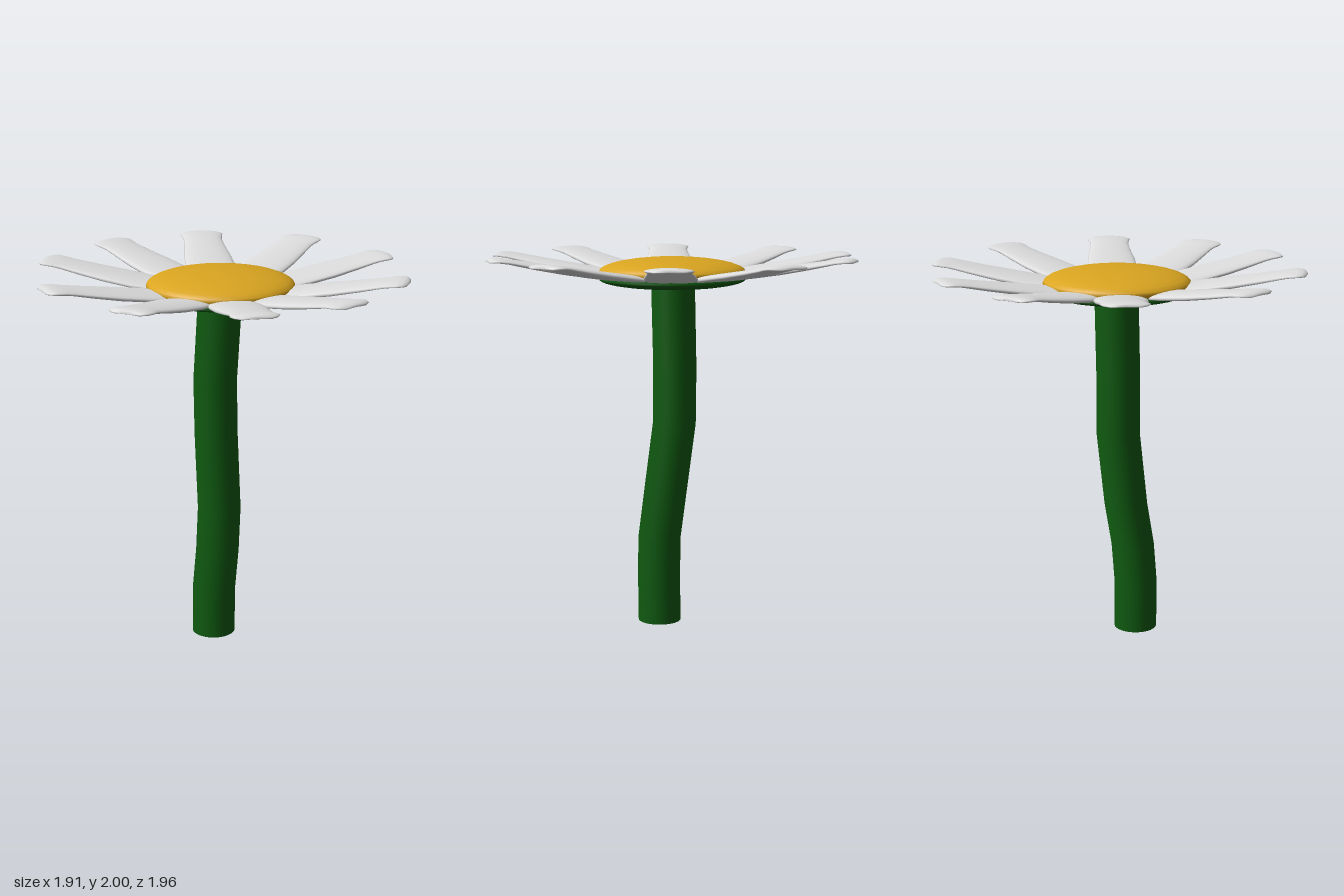
import * as THREE from 'three';

const green = new THREE.MeshStandardMaterial({ name: 'stem green', color: 0x0f5a10 });
const yellow = new THREE.MeshStandardMaterial({ name: 'golden yellow', color: 0xdaa520 });
const white = new THREE.MeshStandardMaterial({ name: 'petal white', color: 0xdcdcdc });

const CENTRE_X = -0.01, CENTRE_Z = 0.0;

// Stem centre line: [y, x, z]
const STEM = [
  [0, -0.1, 0.047], [0.25, -0.1, 0.05], [0.47, -0.078, 0.053], [0.7, -0.047, 0.032],
  [1.1, -0.028, -0.016], [1.4, -0.031, -0.02], [1.85, -0.01, -0.004],
];

// Petal stations: [radius, half width, middle height, half thickness]
const PETAL = [
  [0.25, 0.1, 1.893, 0.012], [0.36, 0.128, 1.896, 0.018], [0.45, 0.136, 1.908, 0.02],
  [0.6, 0.13, 1.93, 0.02], [0.74, 0.116, 1.954, 0.017], [0.84, 0.107, 1.973, 0.014],
  [0.88, 0.112, 1.981, 0.012], [0.925, 0.12, 1.987, 0.011], [0.955, 0.106, 1.987, 0.01],
  [0.972, 0.075, 1.984, 0.007],
];

// Directions of the ten petals, in degrees, seen from above
const ANGLES = [90, 56.5, 20.5, -16.5, -55.5, -89.5, -120.5, -157, -194, -236];

// Tube of constant horizontal width following the bent centre line
function stemGeometry() {
  const sides = 32, rows = STEM.length - 1;
  const geo = new THREE.CylinderGeometry(0.115, 0.115, rows, sides, rows);
  const p = geo.attributes.position;
  for (let i = 0; i < p.count; i++) {
    const [y, x, z] = STEM[Math.round(p.getY(i) + rows / 2)];
    p.setXYZ(i, p.getX(i) + x, y, p.getZ(i) + z);
  }
  return geo;
}

// Closed loft of flattened oval sections along +x
function petalGeometry() {
  const sides = 20, pos = [], index = [];
  const soft = (v, e) => Math.sign(v) * Math.pow(Math.abs(v), e);
  for (const [r, w, y, t] of PETAL) {
    for (let j = 0; j < sides; j++) {
      const a = (j / sides) * Math.PI * 2;
      const c = soft(Math.cos(a), 0.8);
      pos.push(r, y + t * soft(Math.sin(a), 0.8) - 0.006 * c * c, w * c);
    }
  }
  for (let i = 0; i < PETAL.length - 1; i++) {
    for (let j = 0; j < sides; j++) {
      const a = i * sides + j, b = i * sides + (j + 1) % sides;
      index.push(a, a + sides, b, b, a + sides, b + sides);
    }
  }
  // Blunt base and slightly rounded tip
  const last = (PETAL.length - 1) * sides, base = pos.length / 3, tip = base + 1;
  pos.push(0.245, 1.893, 0, 0.982, 1.981, 0);
  for (let j = 0; j < sides; j++) {
    const k = (j + 1) % sides;
    index.push(base, j, k, tip, last + k, last + j);
  }
  const geo = new THREE.BufferGeometry();
  geo.setAttribute('position', new THREE.Float32BufferAttribute(pos, 3));
  geo.setIndex(index);
  geo.computeVertexNormals();
  return geo;
}

// Round shell turned from [radius, height] points, listed bottom to top
function turned(points) {
  return new THREE.LatheGeometry(points.map(([r, y]) => new THREE.Vector2(r, y)), 32);
}

// Quarter-ellipse profile for the flat domes
function arc(radius, rimY, poleY, steps = 8) {
  const pts = [];
  for (let i = 0; i <= steps; i++) {
    const a = (i / steps) * Math.PI / 2;
    pts.push([i === steps ? 0 : radius * Math.cos(a), rimY + (poleY - rimY) * Math.sin(a)]);
  }
  return pts;
}

export function createModel() {
  const flower = new THREE.Group();
  flower.name = 'flower';
  const add = (name, geo, mat, parent = flower) => {
    const mesh = new THREE.Mesh(geo, mat);
    mesh.name = name;
    parent.add(mesh);
    return mesh;
  };

  add('stem', stemGeometry(), green);

  // Bloom: green cup below, golden disc above, ring of petals between
  const bloom = new THREE.Group();
  bloom.name = 'bloom';
  bloom.position.set(CENTRE_X, 0, CENTRE_Z);
  flower.add(bloom);

  const cup = [...arc(0.385, 1.872, 1.822).reverse(), [0.375, 1.885], [0, 1.888]];
  add('cup', turned(cup), green, bloom);
  const disc = [[0, 1.889], [0.375, 1.889], ...arc(0.386, 1.908, 1.985)];
  add('flowerCentre', turned(disc), yellow, bloom);

  const petals = new THREE.Group();
  petals.name = 'petals';
  bloom.add(petals);
  const petal = petalGeometry();
  ANGLES.forEach((deg, i) => {
    const mesh = add('petal' + (i + 1), petal, white, petals);
    mesh.rotation.y = THREE.MathUtils.degToRad(deg);
  });
  return flower;
}
